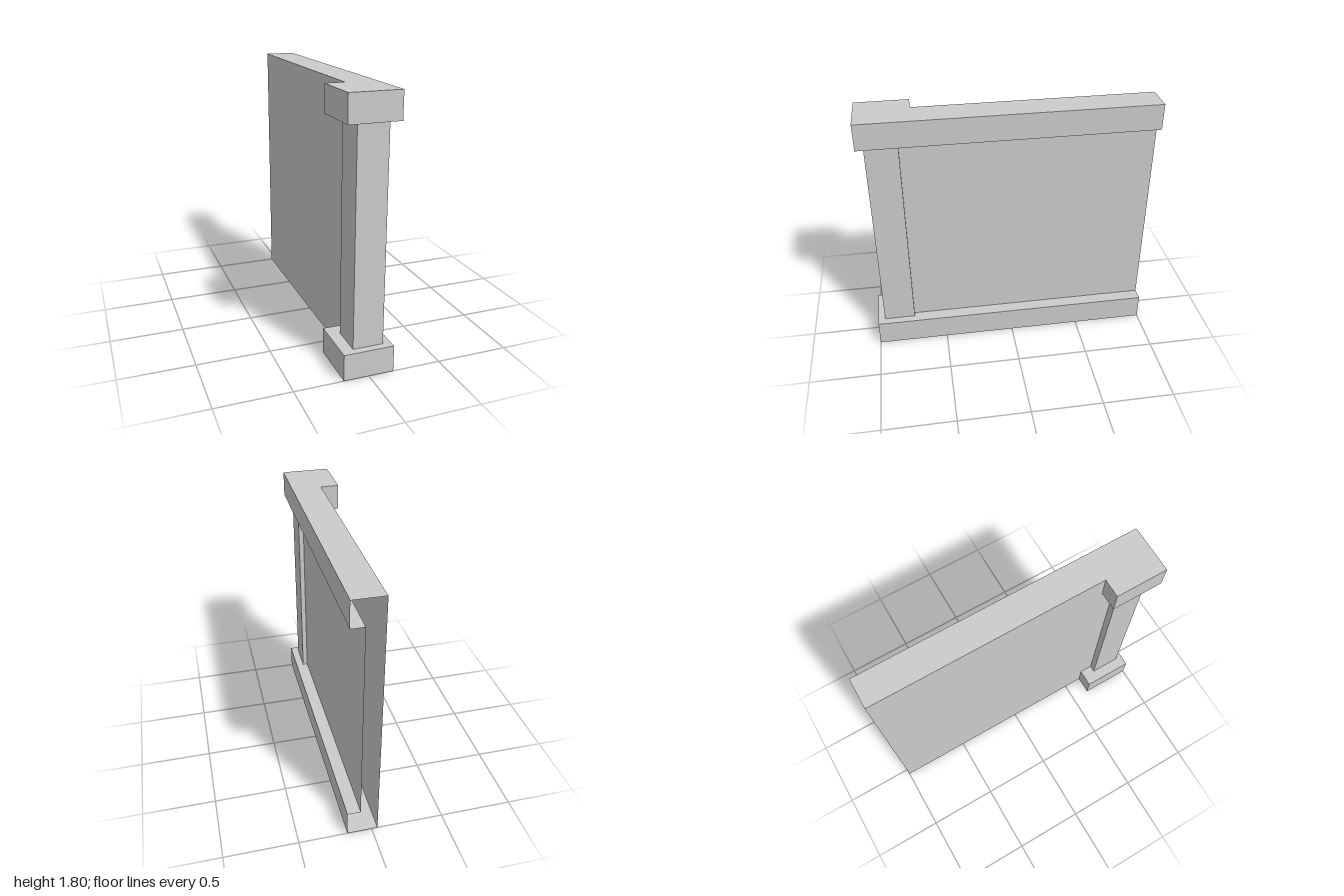
import * as THREE from 'three';

const H = 1.8, RAIL = 0.18;

// plan outlines as [x, z]; both start and end at the open rear end
const railPlan = [[0.17, -1], [0.17, 1], [-0.17, 1], [-0.17, 0.635], [-0.04, 0.635], [-0.04, -1]];
const corePlan = [[0.08, -1], [0.08, 0.73], [0.115, 0.73], [0.115, 0.95],
  [-0.09, 0.95], [-0.09, 0.73], [-0.04, 0.73], [-0.04, -1]];
// ring of the rail left uncovered around the post and panel
const ledgePlan = [...railPlan.slice(0, 5), ...corePlan.slice(0, 7).reverse()];

const material = new THREE.MeshStandardMaterial({
  color: 0xcccccc, flatShading: true, side: THREE.DoubleSide,
});

function addMesh(parent, name, geometry) {
  const mesh = new THREE.Mesh(geometry, material);
  mesh.name = name;
  parent.add(mesh);
}

// vertical faces standing on an open plan path
function walls(plan, y0, y1) {
  const pos = [];
  for (let i = 0; i < plan.length - 1; i++) {
    const [ax, az] = plan[i], [bx, bz] = plan[i + 1];
    pos.push(ax, y0, az, ax, y1, az, bx, y0, bz);
    pos.push(bx, y0, bz, ax, y1, az, bx, y1, bz);
  }
  const geometry = new THREE.BufferGeometry();
  geometry.setAttribute('position', new THREE.Float32BufferAttribute(pos, 3));
  geometry.computeVertexNormals();
  return geometry;
}

// horizontal face filling a plan outline, facing up (1) or down (-1)
function slab(plan, y, facing) {
  const shape = new THREE.Shape(plan.map(([x, z]) => new THREE.Vector2(x, -facing * z)));
  return new THREE.ShapeGeometry(shape).rotateX(-facing * Math.PI / 2).translate(0, y, 0);
}

// hollow rail: outer cover, sides, and the ledge meeting the post and panel
function rail(name, outerY, ledgeY, facing) {
  const group = new THREE.Group();
  group.name = name;
  addMesh(group, name + 'Cover', slab(railPlan, outerY, facing));
  addMesh(group, name + 'Sides', walls(railPlan, Math.min(outerY, ledgeY), Math.max(outerY, ledgeY)));
  addMesh(group, name + 'Ledge', slab(ledgePlan, ledgeY, -facing));
  return group;
}

export function createModel() {
  const model = new THREE.Group();
  model.name = 'wallSection';
  model.add(rail('bottomRail', 0, RAIL, -1));
  model.add(rail('topRail', H, H - RAIL, 1));

  // panel faces and end post between the rails
  const y0 = RAIL, y1 = H - RAIL;
  addMesh(model, 'frontPanel', walls(corePlan.slice(0, 2), y0, y1));
  addMesh(model, 'endPost', walls(corePlan.slice(1, 7), y0, y1));
  addMesh(model, 'backPanel', walls(corePlan.slice(6), y0, y1));
  return model;
}
